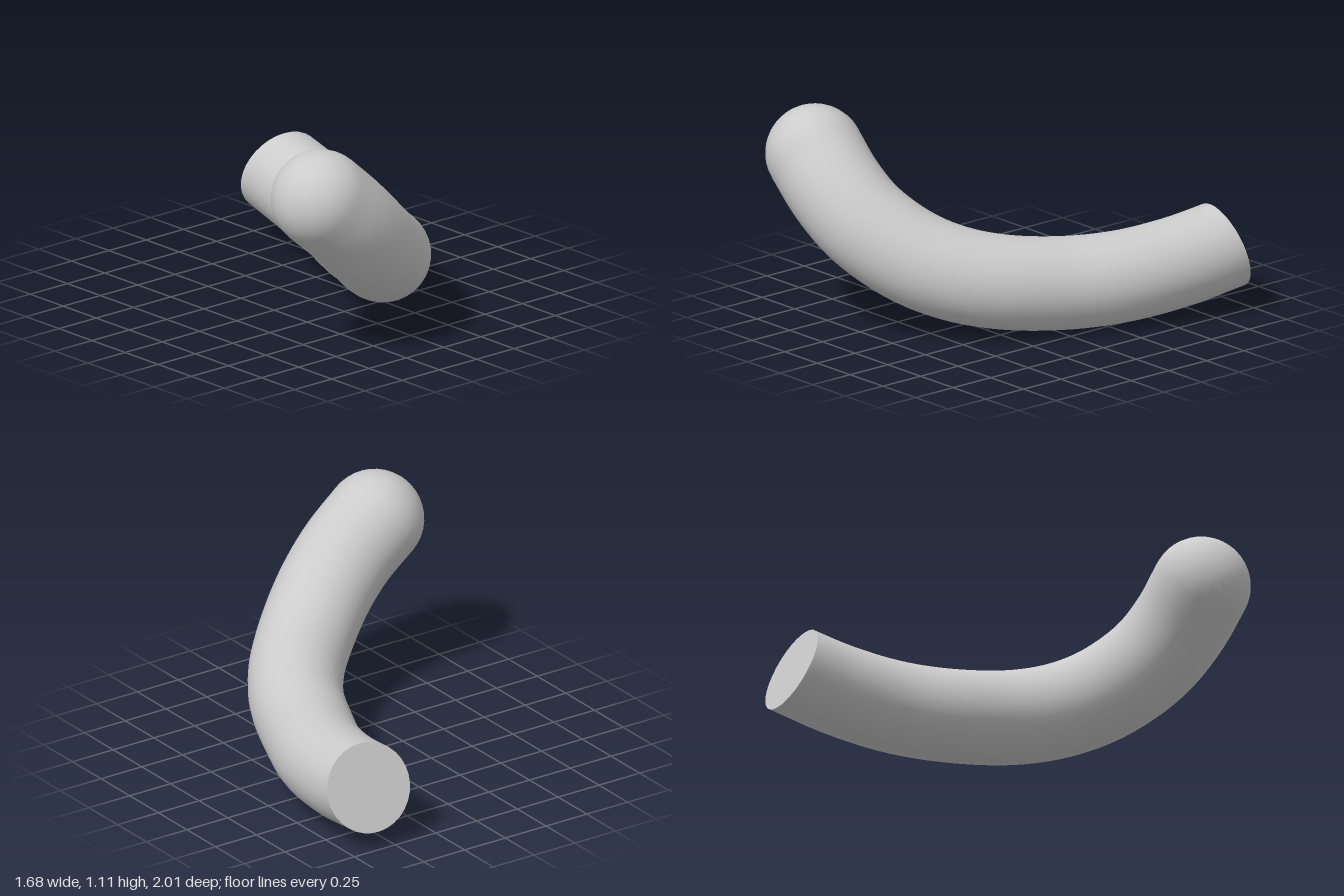
import * as THREE from 'three';

export function createModel() {
  const group = new THREE.Group();
  const material = new THREE.MeshStandardMaterial({ color: 0xcccccc });

  // Centre line, from the rounded end to the cut end
  const path = new THREE.CatmullRomCurve3([
    [-0.6, 0.86, 0.745], [-0.43, 0.71, 0.75], [-0.26, 0.56, 0.705], [-0.06, 0.415, 0.58],
    [0.1, 0.33, 0.43], [0.24, 0.275, 0.23], [0.375, 0.24, -0.07], [0.49, 0.245, -0.35],
    [0.565, 0.275, -0.65], [0.61, 0.32, -0.925],
  ].map((p) => new THREE.Vector3(...p)));

  const sides = 32, steps = 48, capSteps = 10;
  const frames = path.computeFrenetFrames(steps, false);
  const cutNormal = new THREE.Vector3(0.16, 0.31, -0.94).normalize();
  const positions = [], indices = [];
  let rings = 0, rim = [];

  // One cross-section; slant turns it towards the plane of the cut
  function addRing(center, i, radius, slant = 0) {
    const T = frames.tangents[i];
    rim = [];
    for (let s = 0; s < sides; s++) {
      const a = (s / sides) * Math.PI * 2;
      const offset = frames.normals[i].clone().multiplyScalar(Math.cos(a) * radius)
        .addScaledVector(frames.binormals[i], Math.sin(a) * radius);
      const shift = -offset.dot(cutNormal) / T.dot(cutNormal);
      const p = offset.addScaledVector(T, shift * slant).add(center);
      positions.push(p.x, p.y, p.z);
      rim.push(p);
    }
    rings++;
  }

  // Rounded end
  const start = path.getPointAt(0), r0 = 0.25;
  for (let k = 0; k < capSteps; k++) {
    const a = (k / capSteps) * Math.PI / 2;
    const c = start.clone().addScaledVector(frames.tangents[0], -r0 * Math.cos(a));
    addRing(c, 0, Math.max(r0 * Math.sin(a), 0.0005));
  }

  // Tapering body
  for (let i = 0; i <= steps; i++) {
    const u = i / steps;
    addRing(path.getPointAt(u), i, r0 - 0.022 * u, Math.max(0, (u - 0.8) / 0.2));
  }

  for (let r = 0; r < rings - 1; r++) {
    for (let s = 0; s < sides; s++) {
      const a = r * sides + s, b = r * sides + (s + 1) % sides;
      indices.push(a, b, a + sides, b, b + sides, a + sides);
    }
  }
  const bodyGeometry = new THREE.BufferGeometry();
  bodyGeometry.setAttribute('position', new THREE.Float32BufferAttribute(positions, 3));
  bodyGeometry.setIndex(indices);
  bodyGeometry.computeVertexNormals();
  const body = new THREE.Mesh(bodyGeometry, material);
  body.name = 'curvedBody';
  group.add(body);

  // Flat face closing the cut end
  const face = [];
  const end = path.getPointAt(1);
  rim.forEach((p, s) => face.push(...end, ...p, ...rim[(s + 1) % sides]));
  const faceGeometry = new THREE.BufferGeometry();
  faceGeometry.setAttribute('position', new THREE.Float32BufferAttribute(face, 3));
  faceGeometry.computeVertexNormals();
  const cutFace = new THREE.Mesh(faceGeometry, material);
  cutFace.name = 'cutFace';
  group.add(cutFace);

  return group;
}
